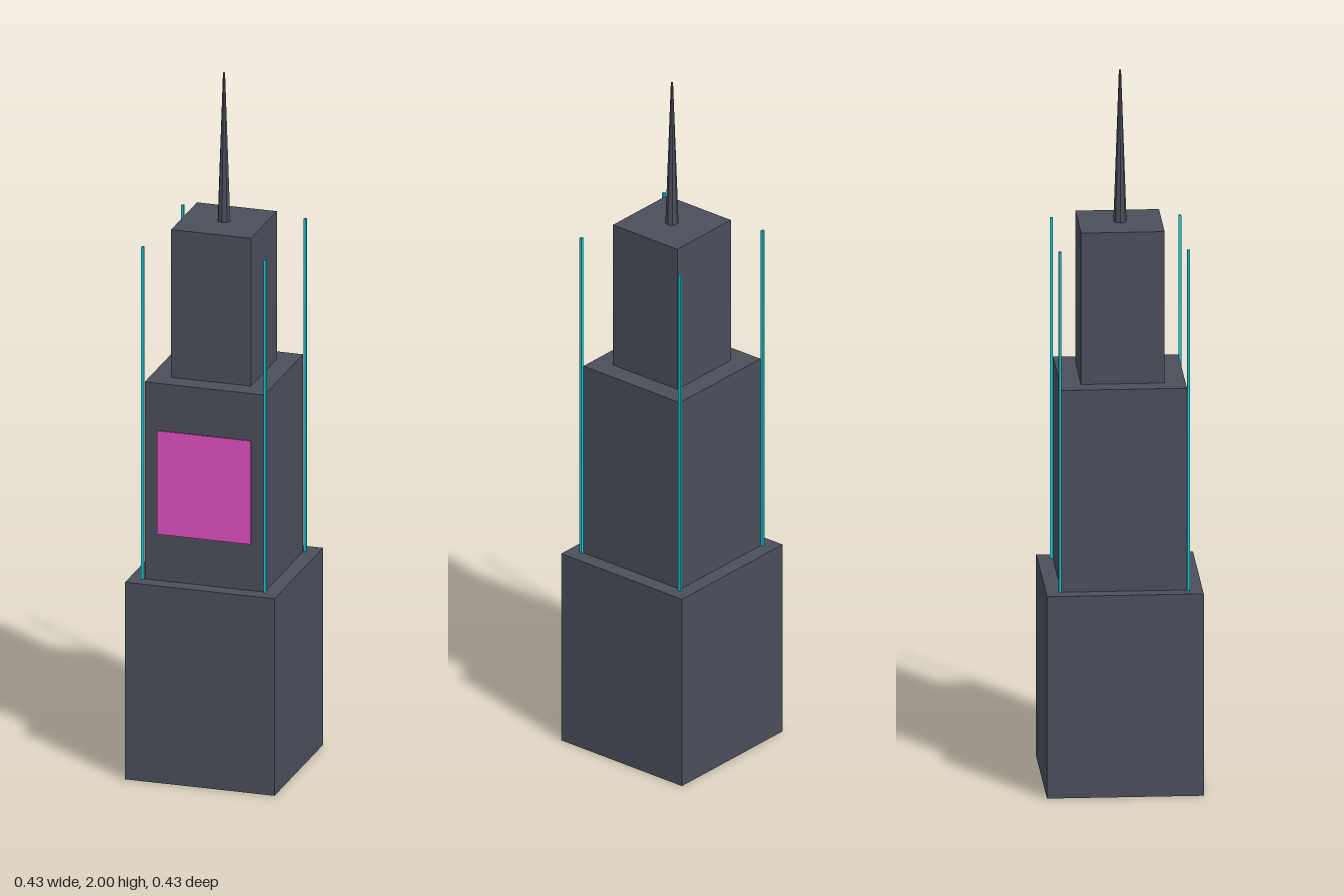
import * as THREE from 'three';

export function createModel() {
  const model = new THREE.Group();
  const wall = new THREE.MeshStandardMaterial({ color: 0x4a4e5a });
  const neon = new THREE.MeshStandardMaterial({ color: 0x18c8d0 });
  const sign = new THREE.MeshStandardMaterial({ color: 0xe050c0 });
  const metal = wall.clone();
  metal.flatShading = true;

  function add(name, geometry, material, x, y, z) {
    const mesh = new THREE.Mesh(geometry, material);
    mesh.name = name;
    mesh.position.set(x, y, z);
    model.add(mesh);
  }

  // Three stacked tiers: name, width, height
  let base = 0;
  for (const [name, width, height] of [
    ['lowerTier', 0.4286, 0.5714],
    ['middleTier', 0.3429, 0.5714],
    ['upperTier', 0.2286, 0.4286],
  ]) {
    add(name, new THREE.BoxGeometry(width, height, width), wall, 0, base + height / 2, 0);
    base += height;
  }

  // Tapered eight-sided spire
  const spireHeight = 2 - base;
  add('spire', new THREE.CylinderGeometry(0.003, 0.018, spireHeight, 8), metal, 0, base + spireHeight / 2, 0);

  // Light strips at the corners of the middle tier, rising above its roof
  const bottom = 0.5714, top = 1.536;
  for (const x of [-0.1755, 0.1755]) {
    for (const z of [-0.1755, 0.1755]) {
      add('lightStrip', new THREE.BoxGeometry(0.0075, top - bottom, 0.0075), neon, x, (top + bottom) / 2, z);
    }
  }

  // Thin sign panel in front of the middle tier
  add('signPanel', new THREE.BoxGeometry(0.268, 0.3, 0.004), sign, 0, 0.858, 0.178);

  return model;
}
